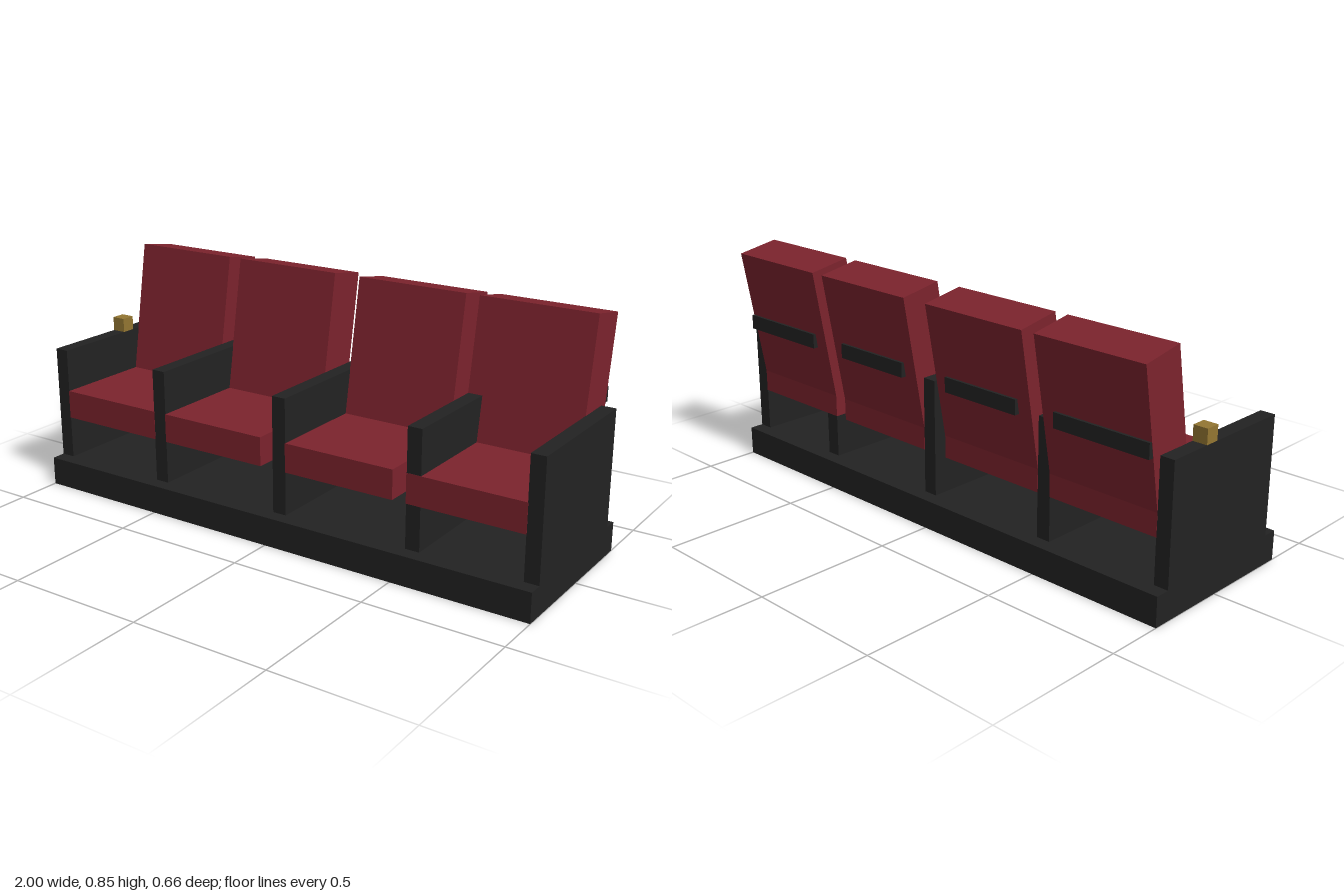
import * as THREE from 'three';

const U = 2 / 38; // grid unit used for all parts
const CZ = 0.0165; // depth centre of base, arms and cushions

export function createModel() {
  const group = new THREE.Group();
  const black = new THREE.MeshStandardMaterial({ color: 0x222222 });
  black.name = 'charcoal';
  const red = new THREE.MeshStandardMaterial({ color: 0x7c232d });
  red.name = 'dark red';
  const gold = new THREE.MeshStandardMaterial({ color: 0x937632 });
  gold.name = 'old gold';

  function box(name, material, w, h, d, x, y, z) {
    const mesh = new THREE.Mesh(new THREE.BoxGeometry(w, h, d), material);
    mesh.name = name;
    mesh.position.set(x, y, z);
    group.add(mesh);
    return mesh;
  }

  // Floor plinth
  box('base', black, 2, 2 * U, 12 * U, 0, U, CZ);

  // Armrest panels
  [-18.5, -9.5, 0.5, 10.5, 18.5].forEach((x, i) => {
    box('armrest' + (i + 1), black, U, 8 * U, 10 * U, x * U, 6 * U, CZ);
  });

  // Four seats: cushion, reclined back and rear bar
  [-14, -5, 5, 14].forEach((x, i) => {
    const n = i + 1;
    const outer = Math.abs(x) > 10;
    // cushions stand just proud of the armrest they overlap
    box('cushion' + n, red, 8 * U + 0.002, 2 * U, 10 * U + 0.002, x * U, 6 * U, CZ);
    const back = box('backrest' + n, red, 8 * U + 0.002, 10 * U, 3 * U, x * U, 11 * U, -0.209);
    back.rotation.x = -Math.PI / 18;
    // outer bars reach the edge of the seat
    const barX = outer ? Math.sign(x) * 14.5 : x;
    box('rearBar' + n, black, (outer ? 7 : 6) * U, U, U, barX * U, 10.5 * U, -0.299 + U / 2);
  });

  // Small block on the right end armrest
  box('armrestBlock', gold, U, U, U, -18.5 * U, 10.5 * U, -0.061);

  return group;
}
